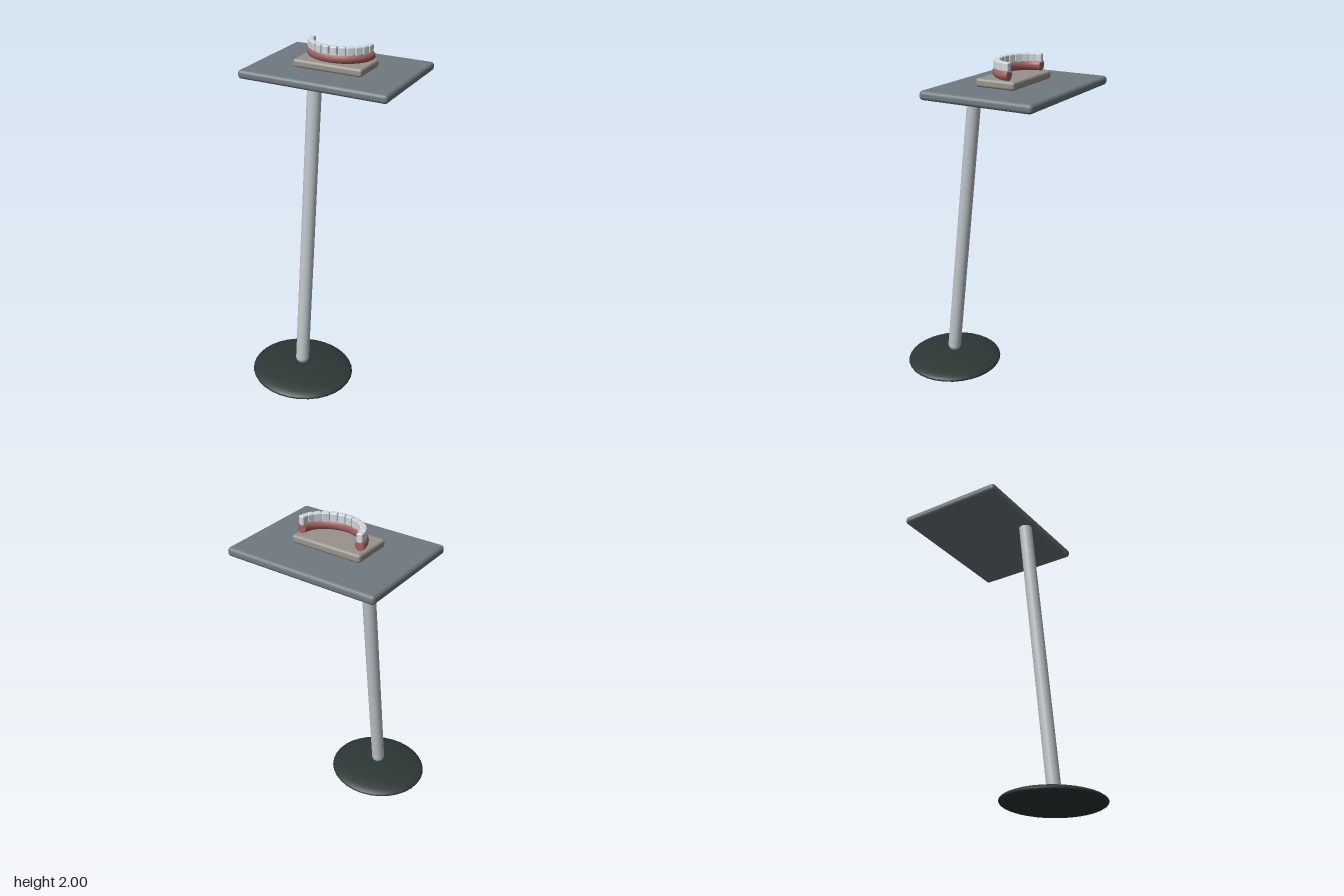
import * as THREE from 'three';
import { RoundedBoxGeometry } from 'three/addons/geometries/RoundedBoxGeometry.js';

const paint = (name, color) => {
  const m = new THREE.MeshStandardMaterial({ color });
  m.name = name;
  return m;
};

export function createModel() {
  const model = new THREE.Group();
  model.name = 'dentureStand';
  const darkGreen = paint('dark green', 0x2c3836);
  const steel = paint('pale steel', 0xbdc4c8);
  const slate = paint('slate grey', 0x707a80);
  const stone = paint('warm stone', 0x98948c);
  const pink = paint('gum pink', 0xa36262);
  const enamel = paint('enamel', 0xd0d7dc);

  const add = (name, geometry, material, x, y, z, parent = model) => {
    const mesh = new THREE.Mesh(geometry, material);
    mesh.name = name;
    mesh.position.set(x, y, z);
    parent.add(mesh);
    return mesh;
  };

  // Flattened ellipsoid foot
  add('base', new THREE.SphereGeometry(1, 32, 20).scale(0.31, 0.048, 0.286), darkGreen, 0, 0.05, 0.239);

  // Leaning pole with rounded ends
  const bottom = new THREE.Vector3(0, 0.138, 0.24);
  const top = new THREE.Vector3(0, 1.815, 0.074);
  const axis = top.clone().sub(bottom);
  const middle = bottom.clone().add(top).multiplyScalar(0.5);
  const pole = add('pole', new THREE.CapsuleGeometry(0.04, axis.length(), 8, 20), steel, ...middle.toArray());
  pole.quaternion.setFromUnitVectors(new THREE.Vector3(0, 1, 0), axis.normalize());

  // Tray and the small plinth on it
  add('tray', new RoundedBoxGeometry(0.904, 0.05, 0.664, 4, 0.02), slate, 0, 1.836, -0.193);
  add('plinth', new RoundedBoxGeometry(0.424, 0.046, 0.234, 4, 0.015), stone, 0, 1.883, -0.174);

  // Dental arch: a half ring squashed front to back
  const arch = new THREE.Group();
  arch.name = 'dentalArch';
  arch.position.set(0, 0, -0.246);
  model.add(arch);
  const R = 0.18, r = 0.028, squash = 0.81, gumY = 1.934;
  const gum = new THREE.TorusGeometry(R, r, 14, 40, Math.PI).rotateX(Math.PI / 2).scale(1, 1.03, squash);
  add('gum', gum, pink, 0, gumY, 0, arch);
  for (const side of [-1, 1]) {
    const cap = new THREE.CircleGeometry(r, 14).rotateY(Math.PI).scale(1, 1.03, 1);
    add('gumEnd', cap, pink, side * R, gumY, 0, arch);
  }

  // Twelve teeth spaced evenly round the arch
  const toothGeometry = new RoundedBoxGeometry(0.043, 0.054, 0.034, 3, 0.008);
  for (let i = 0; i < 12; i++) {
    const a = (i + 0.5) * Math.PI / 12;
    const tooth = add('tooth', toothGeometry, enamel, R * Math.cos(a), 1.973, R * squash * Math.sin(a), arch);
    tooth.rotation.y = Math.PI / 2 - a;
  }
  return model;
}
